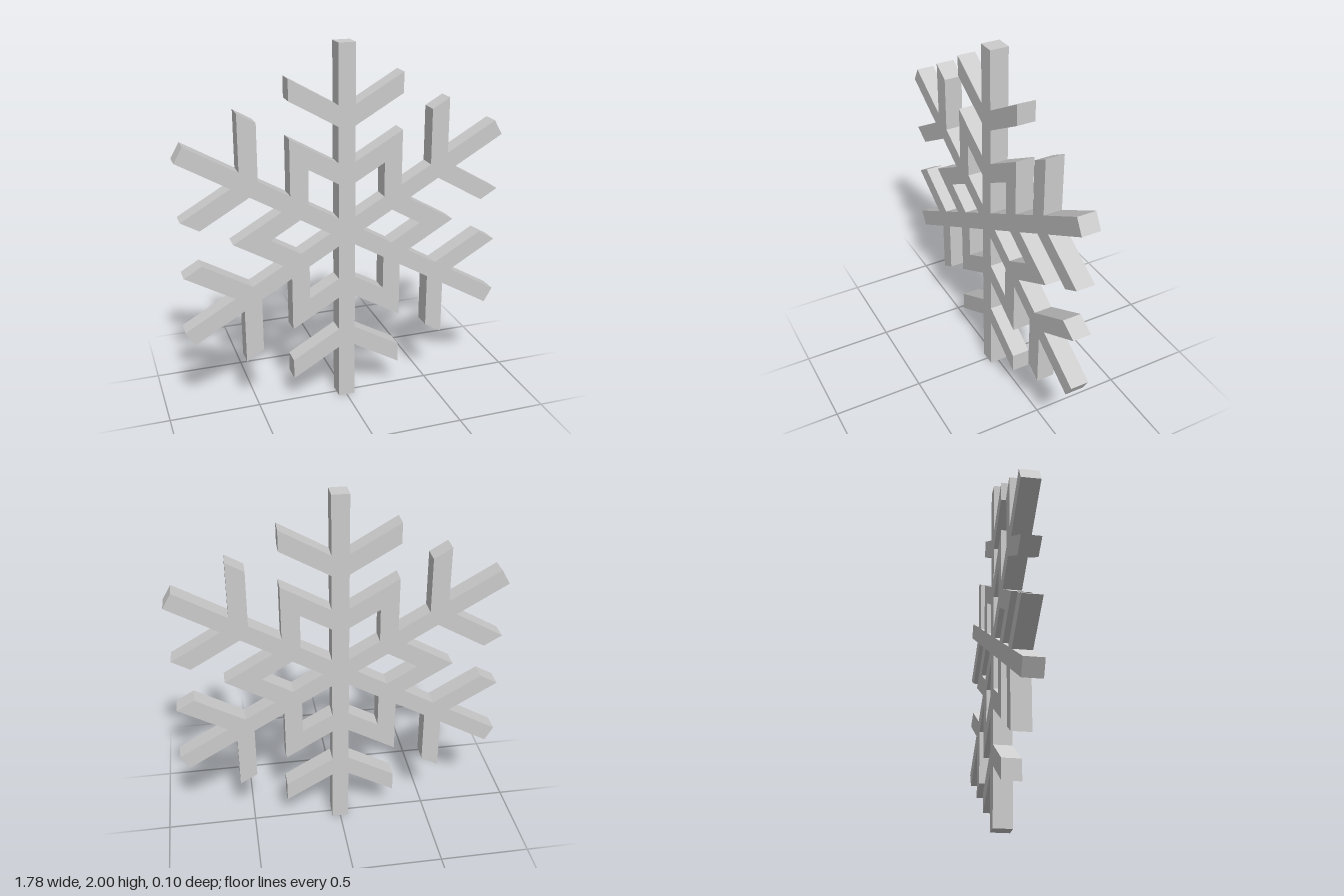
import * as THREE from 'three';

const DEPTH = 0.1;
const HALF = 0.046; // half width of an arm

// Right half of one upright arm, from its end down to the star tip shared with the next arm
const armSide = [
  [HALF, 1], [HALF, 0.686], [0.308, 0.837], [0.308, 0.726],
  [HALF, 0.575], [HALF, 0.382], [0.308, 0.533],
];

// Turn a point clockwise by a number of sixths of a circle
const turn = ([x, y], sixths) =>
  new THREE.Vector2(x, y).rotateAround(new THREE.Vector2(), -sixths * Math.PI / 3);

export function createModel() {
  const outline = [];
  const holes = [];
  // Left half mirrors the right, without the shared star tip
  const leftSide = armSide.slice(0, -1).reverse().map(([x, y]) => [-x, y]);

  for (let i = 0; i < 6; i++) {
    for (const p of [...leftSide, ...armSide]) outline.push(turn(p, i));

    // Diamond opening between this arm and the next
    const diamond = [[0, 0.092], [0.095, 0.256], [0, 0.419], [-0.095, 0.256]];
    holes.push(new THREE.Path(diamond.map((p) => turn(p, i + 0.5))));
  }

  const shape = new THREE.Shape(outline);
  shape.holes = holes;
  const geometry = new THREE.ExtrudeGeometry(shape, { depth: DEPTH, bevelEnabled: false });
  geometry.translate(0, 1, -DEPTH / 2);

  const snowflake = new THREE.Mesh(
    geometry,
    new THREE.MeshStandardMaterial({ color: 0xcccccc, flatShading: true }),
  );
  snowflake.name = 'snowflake';

  const group = new THREE.Group();
  group.name = 'snowflakeOrnament';
  group.add(snowflake);
  return group;
}
